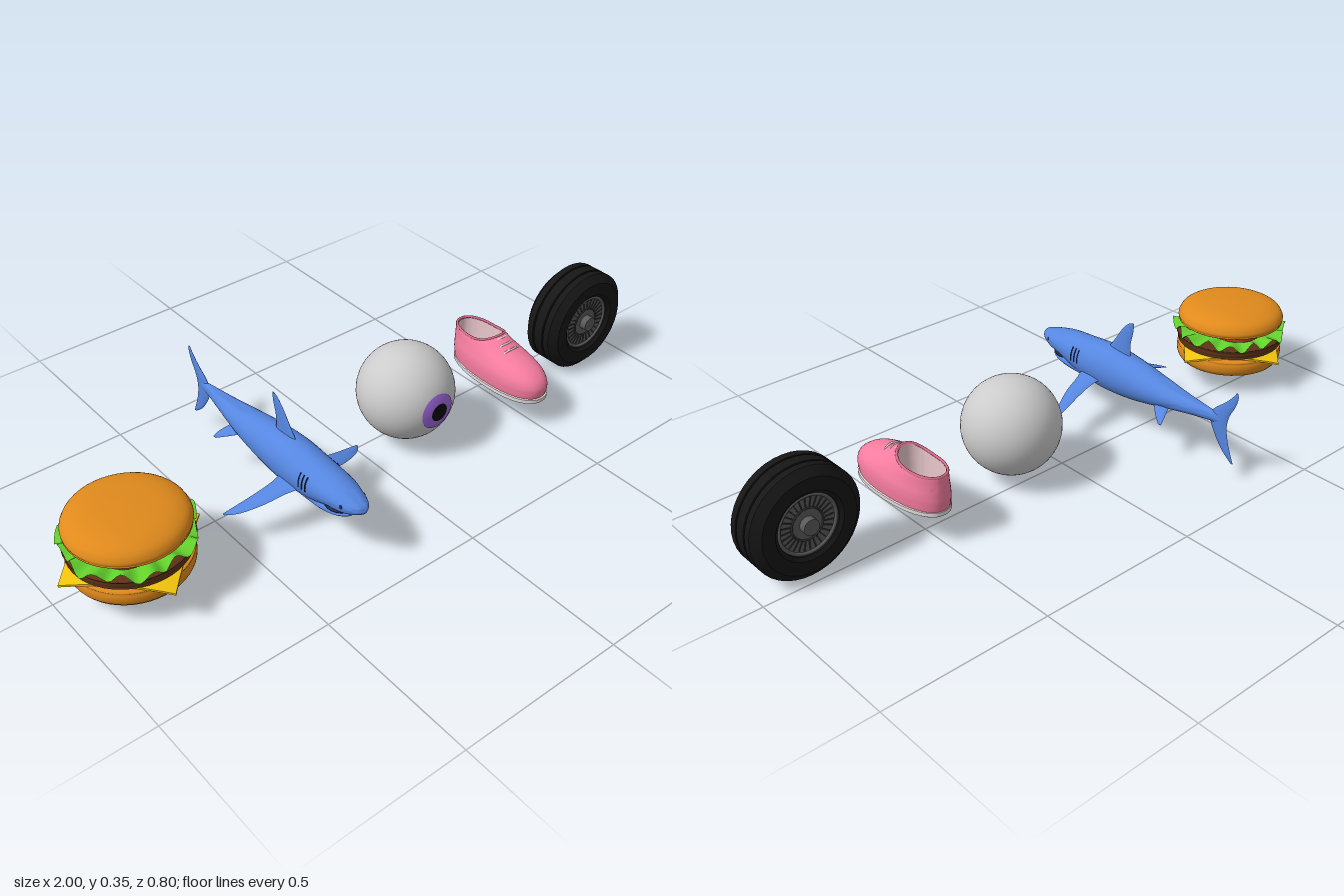
import * as THREE from 'three';
import { toCreasedNormals } from 'three/addons/utils/BufferGeometryUtils.js';

const V = (x, y, z) => new THREE.Vector3(x, y, z);
const mat = (color, extra = {}) => new THREE.MeshStandardMaterial({ color, ...extra });
const double = { side: THREE.DoubleSide };

function add(parent, name, geometry, material, x = 0, y = 0, z = 0) {
  const mesh = new THREE.Mesh(geometry, material);
  mesh.name = name;
  mesh.position.set(x, y, z);
  parent.add(mesh);
  return mesh;
}

function group(parent, name, x = 0, y = 0, z = 0) {
  const g = new THREE.Group();
  g.name = name;
  g.position.set(x, y, z);
  parent.add(g);
  return g;
}

// Skin over a list of closed rings; ends are capped on request.
function loft(rings, capStart = true, capEnd = true) {
  const n = rings[0].length, points = rings.flat(), index = [];
  for (let r = 0; r < rings.length - 1; r++) {
    for (let i = 0; i < n; i++) {
      const a = r * n + i, b = r * n + (i + 1) % n;
      index.push(a, b, a + n, b, b + n, a + n);
    }
  }
  const cap = (r, flip) => {
    const c = points.length;
    points.push(rings[r].reduce((s, p) => s.add(p), V(0, 0, 0)).divideScalar(n));
    for (let i = 0; i < n; i++) {
      const a = r * n + i, b = r * n + (i + 1) % n;
      index.push(c, flip ? b : a, flip ? a : b);
    }
  };
  if (capStart) cap(0, true);
  if (capEnd) cap(rings.length - 1, false);
  // Turn the faces outward if the rings ran the other way
  let volume = 0;
  for (let i = 0; i < index.length; i += 3) {
    const [a, b, c] = [0, 1, 2].map(k => points[index[i + k]]);
    volume += a.dot(b.clone().cross(c));
  }
  if (volume < 0) index.reverse();
  const g = new THREE.BufferGeometry().setFromPoints(points);
  g.setIndex(index);
  g.computeVertexNormals();
  return toCreasedNormals(g, 0.8);
}

// Catmull-Rom refinement of a table of numeric stations.
function refine(rows, steps) {
  const out = [], at = i => rows[Math.max(0, Math.min(rows.length - 1, i))];
  for (let i = 0; i < rows.length - 1; i++) {
    for (let s = 0; s < steps; s++) {
      const t = s / steps;
      out.push(rows[i].map((p, k) => {
        const a = at(i - 1)[k], c = rows[i + 1][k], d = at(i + 2)[k];
        return 0.5 * (2 * p + (c - a) * t + (2 * a - 5 * p + 4 * c - d) * t * t + (3 * p - a - 3 * c + d) * t ** 3);
      }));
    }
  }
  out.push(rows[rows.length - 1]);
  return out;
}

const ring = (n, f) => Array.from({ length: n }, (_, i) => f(Math.cos(i / n * 2 * Math.PI), Math.sin(i / n * 2 * Math.PI)));
const lathe = (pts, seg = 48) => new THREE.LatheGeometry(pts.map(p => new THREE.Vector2(...p)), seg);
const softLathe = pts => lathe(refine(pts, 4));

function burger(root) {
  const g = group(root, 'burger', -0.79, 0, 0.057);
  const bun = mat(0xe08a1c);
  add(g, 'bottomBun', softLathe([[0, 0.066], [0.14, 0.067], [0.161, 0.073], [0.168, 0.09], [0.166, 0.11], [0.15, 0.12], [0, 0.121]]), bun);
  add(g, 'topBun', softLathe([[0, 0.199], [0.15, 0.199], [0.165, 0.205], [0.167, 0.218], [0.15, 0.24], [0.1, 0.256], [0, 0.262]]), bun);
  add(g, 'patty', softLathe([[0, 0.128], [0.15, 0.128], [0.165, 0.136], [0.167, 0.15], [0.158, 0.163], [0, 0.166]]), mat(0x5e3318));
  // Cheese slice with drooping corners
  const cheese = new THREE.BoxGeometry(0.297, 0.006, 0.297, 14, 1, 14).rotateY(Math.PI / 4);
  const lettuce = new THREE.RingGeometry(0.02, 0.178, 96, 6).rotateX(-Math.PI / 2);
  for (const [geo, rule] of [
    [cheese, (r, a, y) => [r, y - Math.max(0, r - 0.15) * 0.25]],
    [lettuce, (r, a) => [r * (1 + 0.05 * Math.sin(7 * a + 1)), (0.013 * Math.sin(15 * a) - 0.004) * (r / 0.178) ** 4]],
  ]) {
    const p = geo.attributes.position;
    for (let i = 0; i < p.count; i++) {
      const a = Math.atan2(p.getZ(i), p.getX(i));
      const [r, y] = rule(Math.hypot(p.getX(i), p.getZ(i)), a, p.getY(i));
      p.setXYZ(i, r * Math.cos(a), y, r * Math.sin(a));
    }
    geo.computeVertexNormals();
  }
  add(g, 'cheese', cheese, mat(0xf2c40c), 0, 0.124, 0);
  add(g, 'lettuce', lettuce, mat(0x62d02c, double), 0, 0.177, 0);
  for (let i = 0; i < 4; i++) {
    const a = i * Math.PI / 2 + 0.6;
    add(g, 'tomatoSlice', new THREE.CylinderGeometry(0.075, 0.075, 0.014, 28), mat(0xc0392b), 0.078 * Math.cos(a), 0.191, 0.078 * Math.sin(a));
  }
}

// Fin made of elliptical slices, each running from leading to trailing edge.
function fin(slices, normal) {
  return loft(slices.map(([lead, trail, thick]) => ring(12, (c, s) =>
    lead.clone().add(trail).multiplyScalar(0.5).addScaledVector(lead.clone().sub(trail), c / 2).addScaledVector(normal, s * thick / 2))));
}

function shark(root) {
  const g = group(root, 'shark', -0.295, 0, 0);
  const skin = mat(0x5586e0), dark = mat(0x1c2a4c);
  // Stations: z, top, bottom, half width
  const hull = rows => loft(refine(rows, 4).map(([z, t, b, w]) => ring(28, (c, s) => V(w * c, (t + b) / 2 + (t - b) / 2 * s, z))));
  add(g, 'body', hull([[-0.345, 0.195, 0.165, 0.005], [-0.3, 0.2, 0.163, 0.013], [-0.2, 0.207, 0.148, 0.032], [-0.1, 0.222, 0.128, 0.048],
    [0, 0.24, 0.11, 0.057], [0.1, 0.249, 0.104, 0.062], [0.2, 0.241, 0.115, 0.06], [0.29, 0.231, 0.147, 0.053], [0.34, 0.22, 0.156, 0.043],
    [0.375, 0.21, 0.17, 0.03], [0.392, 0.203, 0.179, 0.016], [0.4, 0.193, 0.187, 0.003]]), skin);
  add(g, 'lowerJaw', hull([[0.18, 0.17, 0.118, 0.05], [0.26, 0.166, 0.122, 0.047], [0.31, 0.156, 0.133, 0.037], [0.34, 0.152, 0.142, 0.02], [0.35, 0.151, 0.148, 0.004]]), skin);
  add(g, 'mouth', new THREE.SphereGeometry(1, 20, 12), dark, 0, 0.155, 0.295).scale.set(0.042, 0.009, 0.046);

  const upright = rows => fin(rows.map(([y, a, b, t]) => [V(0, y, a), V(0, y, b), t]), V(1, 0, 0));
  add(g, 'dorsalFin', upright(refine([[0.232, 0.12, 0.02, 0.014], [0.28, 0.085, 0.022, 0.01], [0.32, 0.058, 0.013, 0.006], [0.345, 0.034, 0.01, 0.004], [0.353, 0.018, 0.011, 0.002]], 3)), skin);
  add(g, 'tailFin', upright(refine([[0.286, -0.394, -0.4, 0.002], [0.27, -0.383, -0.402, 0.004], [0.24, -0.355, -0.393, 0.006], [0.205, -0.315, -0.375, 0.01],
    [0.168, -0.305, -0.367, 0.011], [0.125, -0.325, -0.373, 0.008], [0.085, -0.355, -0.387, 0.005], [0.056, -0.39, -0.399, 0.002]], 3)), skin);

  for (const side of [1, -1]) {
    const flat = rows => fin(refine(rows, 3).map(([x, y, a, b, t]) => [V(side * x, y, a), V(side * x, y, b), t]), V(0, 1, 0));
    add(g, 'pectoralFin', flat([[0.035, 0.153, 0.19, 0.095, 0.018], [0.08, 0.142, 0.168, 0.103, 0.012], [0.14, 0.125, 0.15, 0.098, 0.009], [0.2, 0.107, 0.12, 0.088, 0.006], [0.23, 0.099, 0.092, 0.084, 0.002]]), skin);
    add(g, 'pelvicFin', flat([[0.025, 0.152, -0.105, -0.165, 0.012], [0.055, 0.137, -0.14, -0.178, 0.008], [0.075, 0.122, -0.172, -0.184, 0.002]]), skin);
    add(g, 'eye', new THREE.SphereGeometry(0.007, 14, 10), dark, side * 0.038, 0.192, 0.345).scale.x = 0.6;
    // Gill slits follow the flank
    for (let i = 0; i < 3; i++) {
      const pts = [-0.1, 0.15, 0.4, 0.65].map(a => V(side * 0.0595 * Math.cos(a), 0.179 + 0.061 * Math.sin(a), 0.193 + i * 0.014));
      add(g, 'gill', new THREE.TubeGeometry(new THREE.CatmullRomCurve3(pts), 10, 0.0022, 6), dark);
    }
  }
}

function eyeball(root) {
  const g = group(root, 'eyeball', 0.152, 0.173, 0.045);
  const cap = (r, angle) => new THREE.SphereGeometry(r, 40, 10, 0, 2 * Math.PI, 0, angle).rotateX(Math.PI / 2);
  add(g, 'white', new THREE.SphereGeometry(0.145, 48, 32), mat(0xcccccc));
  add(g, 'iris', cap(0.147, 0.39), mat(0xa066dd));
  add(g, 'pupil', cap(0.149, 0.19), mat(0x08080c));
}

function shoe(root) {
  const g = group(root, 'shoe', 0.498, 0, 0);
  // Level outline: height, toe z, heel z, half width, rise at the front
  const outline = ([y, toe, heel, w, rise]) => ring(44, (c, s) => {
    const soft = v => Math.sign(v) * Math.abs(v) ** 0.88;
    return V(w * soft(c) * (1 + 0.06 * s), y + rise * Math.max(0, s) ** 2, (toe + heel) / 2 + (toe - heel) / 2 * soft(s));
  });
  add(g, 'sole', loft([[0.089, 0.262, -0.088, 0.073, 0], [0.092, 0.267, -0.092, 0.077, 0], [0.104, 0.267, -0.092, 0.077, 0], [0.106, 0.262, -0.088, 0.073, 0]].map(outline)), mat(0xe6dcdc));
  add(g, 'upper', loft(refine([[0.104, 0.262, -0.09, 0.073, 0], [0.13, 0.267, -0.094, 0.075, 0], [0.155, 0.257, -0.094, 0.073, 0], [0.173, 0.23, -0.094, 0.067, 0.003],
    [0.185, 0.19, -0.094, 0.062, 0.007], [0.197, 0.135, -0.093, 0.057, 0.012], [0.21, 0.083, -0.092, 0.052, 0.024], [0.207, 0.075, -0.085, 0.046, 0.024]], 3).map(outline), false, false), mat(0xf57c9f, double));
  add(g, 'lining', loft([[0.208, 0.077, -0.087, 0.047, 0.024], [0.16, 0.077, -0.086, 0.047, 0], [0.125, 0.077, -0.085, 0.047, 0]].map(outline), false, true), mat(0xeac8cc, double));
  add(g, 'collar', new THREE.TubeGeometry(new THREE.CatmullRomCurve3(outline([0.21, 0.08, -0.089, 0.049, 0.024]), true), 60, 0.004, 8, true), mat(0xd9698a));
  // Laces across the instep
  [[0.09, 0.229], [0.112, 0.22], [0.135, 0.212]].forEach(([z, y]) => {
    const pts = [[-0.04, -0.022], [-0.022, -0.005], [0, 0], [0.022, -0.005], [0.04, -0.022]].map(([x, d]) => V(x, y + d, z - Math.abs(x) * 0.2));
    add(g, 'lace', new THREE.TubeGeometry(new THREE.CatmullRomCurve3(pts), 16, 0.0032, 7), mat(0xf3d3da));
  });
}

function wheel(root) {
  const g = group(root, 'wheel', 0.838, 0.162, 0.073);
  const half = [[0.086, 0.04], [0.09, 0.056], [0.1, 0.0635], [0.138, 0.0635], [0.162, 0.043], [0.162, 0.022], [0.157, 0.021], [0.157, 0.017], [0.162, 0.016]];
  const profile = [...half.map(([r, z]) => [r, -z]), ...half.slice().reverse()];
  add(g, 'tyre', toCreasedNormals(lathe(profile, 40).rotateX(Math.PI / 2), 0.4), mat(0x161616));
  const metal = mat(0x5a5a5a), dark = mat(0x2c2c2c);
  const disc = (r, d) => new THREE.CylinderGeometry(r, r, d, 40).rotateX(Math.PI / 2);
  add(g, 'rim', disc(0.089, 0.098), metal);
  add(g, 'hub', disc(0.023, 0.141), metal);
  for (const side of [1, -1]) {
    add(g, 'rimEdge', new THREE.TorusGeometry(0.084, 0.005, 8, 48), metal, 0, 0, side * 0.05);
    add(g, 'hubRing', new THREE.TorusGeometry(0.046, 0.003, 8, 40), dark, 0, 0, side * 0.049);
    // Radial spokes around the rim
    for (let i = 0; i < 28; i++) {
      const a = i / 28 * 2 * Math.PI;
      add(g, 'spoke', new THREE.BoxGeometry(0.026, 0.004, 0.006), dark, 0.064 * Math.cos(a), 0.064 * Math.sin(a), side * 0.048).rotation.z = a;
    }
  }
}

export function createModel() {
  const root = new THREE.Group();
  root.name = 'objectRow';
  [burger, shark, eyeball, shoe, wheel].forEach(build => build(root));
  return root;
}
